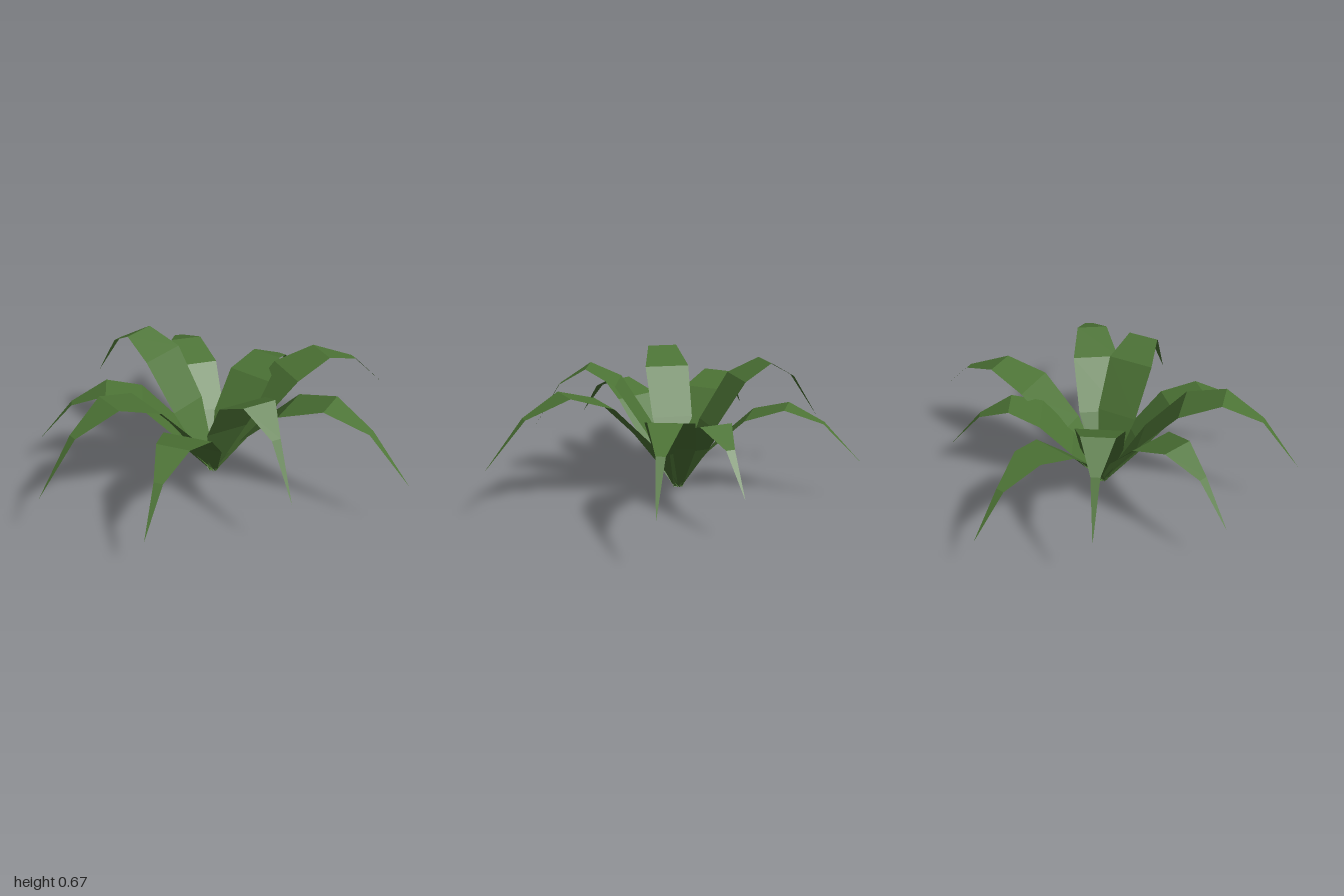
import * as THREE from 'three';

// Leaf template: distance along the leaf, height relative to its peak, full width
const SECTIONS = [
  [0.0, 0.0, 0.05],
  [0.2, 0.51, 0.22],
  [0.4, 0.88, 0.245],
  [0.6, 1.0, 0.165],
  [0.8, 0.85, 0.045],
  [1.0, 0.465, 0.0],
];
const ROOT = { x: -0.055, z: 0.09 };

// Tip x, tip z and peak height of each arching leaf
const LEAVES = [
  [0.0, -0.87, 0.495],
  [-0.5, -0.62, 0.66],
  [-0.915, -0.12, 0.53],
  [-1.0, 0.45, 0.65],
  [-0.605, 0.8, 0.495],
  [0.06, 0.86, 0.665],
  [0.645, 0.875, 0.6],
  [1.0, -0.05, 0.56],
  [0.615, -0.37, 0.49],
];

// Ribbon of flat cross-sections that arches from the root to a pointed tip
function leafGeometry(tipX, tipZ, peak) {
  const dx = tipX - ROOT.x;
  const dz = tipZ - ROOT.z;
  const length = Math.hypot(dx, dz);
  const sideX = dz / length;
  const sideZ = -dx / length;
  const positions = [];
  const index = [];
  SECTIONS.forEach(([t, h, width], i) => {
    for (const s of [-0.5, 0.5]) {
      positions.push(
        ROOT.x + dx * t + sideX * width * s,
        peak * h,
        ROOT.z + dz * t + sideZ * width * s
      );
    }
    if (i === 0) return;
    const a = (i - 1) * 2;
    index.push(a, a + 1, a + 3);
    if (width > 0) index.push(a, a + 3, a + 2); // the tip ends in one triangle
  });
  // Wind every face so its front is the upper side
  for (let i = 0; i < index.length; i += 3) {
    const [a, b, c] = index.slice(i, i + 3).map((k) => new THREE.Vector3().fromArray(positions, k * 3));
    if (b.sub(a).cross(c.sub(a)).y < 0) [index[i + 1], index[i + 2]] = [index[i + 2], index[i + 1]];
  }
  const indexed = new THREE.BufferGeometry();
  indexed.setAttribute('position', new THREE.Float32BufferAttribute(positions, 3));
  indexed.setIndex(index);
  const geometry = indexed.toNonIndexed();
  geometry.computeVertexNormals();
  return geometry;
}

export function createModel() {
  const plant = new THREE.Group();
  plant.name = 'plant';
  const leafGreen = new THREE.MeshStandardMaterial({
    color: 0x4c7335,
    flatShading: true,
    side: THREE.DoubleSide,
  });
  leafGreen.name = 'leaf green';

  LEAVES.forEach((leaf, i) => {
    const mesh = new THREE.Mesh(leafGeometry(...leaf), leafGreen);
    mesh.name = `leaf${i + 1}`;
    plant.add(mesh);
  });
  return plant;
}
